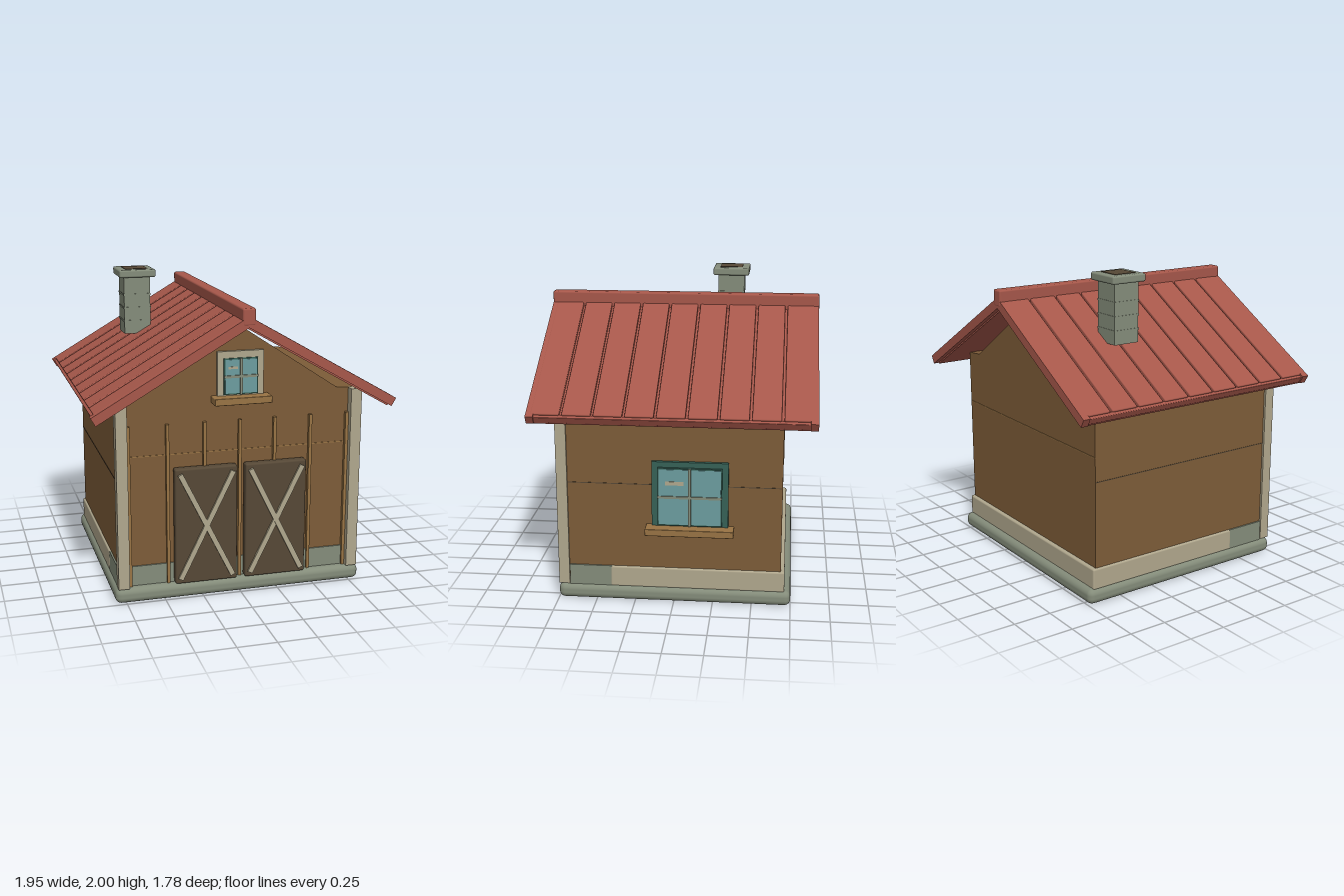
import * as THREE from 'three';
import { RoundedBoxGeometry } from 'three/addons/geometries/RoundedBoxGeometry.js';

const mat = (name, color) => {
  const m = new THREE.MeshStandardMaterial({ color });
  m.name = name;
  return m;
};

export function createModel() {
  const wood = mat('wall brown', 0x7d5c38);
  const lightWood = mat('light wood', 0x987344);
  const darkWood = mat('dark wood', 0x564836);
  const cream = mat('cream', 0xb0a78d);
  const stone = mat('grey stone', 0x848c7a);
  const red = mat('roof red', 0xa6574a);
  const teal = mat('teal', 0x366156);
  const glass = mat('glass', 0x6c9d9f);

  const model = new THREE.Group();
  model.name = 'cottage';

  // Box given by its limits on each axis; r rounds the edges
  function box(parent, name, material, [x0, x1], [y0, y1], [z0, z1], r = 0) {
    const size = [x1 - x0, y1 - y0, z1 - z0];
    const geo = r ? new RoundedBoxGeometry(...size, 3, r) : new THREE.BoxGeometry(...size);
    const mesh = new THREE.Mesh(geo, material);
    mesh.name = name;
    mesh.position.set((x0 + x1) / 2, (y0 + y1) / 2, (z0 + z1) / 2);
    parent.add(mesh);
    return mesh;
  }
  function group(name, parent = model) {
    const g = new THREE.Group();
    g.name = name;
    parent.add(g);
    return g;
  }

  // Foundation and skirting
  box(model, 'foundation', stone, [-0.82, 0.82], [0, 0.1], [-0.75, 0.75], 0.04);
  box(model, 'creamSkirting', cream, [-0.8, 0.8], [0.09, 0.23], [-0.71, 0.41], 0.012);
  box(model, 'stoneSkirtingSides', stone, [-0.798, 0.798], [0.09, 0.23], [0.4, 0.675]);
  box(model, 'stoneSkirtingFront', stone, [-0.73, 0.73], [0.09, 0.23], [0.6, 0.7]);

  // Body with shouldered gables
  const outline = [[-0.787, 0.09], [0.787, 0.09], [0.787, 1.305], [0.65, 1.315], [0, 1.745], [-0.65, 1.315], [-0.787, 1.305]];
  const shape = new THREE.Shape(outline.map(([x, y]) => new THREE.Vector2(x, y)));
  const bodyGeo = new THREE.ExtrudeGeometry(shape, { depth: 1.375, bevelEnabled: false });
  bodyGeo.translate(0, 0, -0.685);
  const body = new THREE.Mesh(bodyGeo, wood);
  body.name = 'walls';
  model.add(body);

  // Thin board seams
  box(model, 'frontSeam', lightWood, [-0.72, 0.72], [0.947, 0.953], [0.68, 0.693]);
  box(model, 'backSeam', lightWood, [-0.785, 0.785], [0.947, 0.953], [-0.688, -0.68]);
  box(model, 'sideSeam', darkWood, [-0.789, 0.789], [0.789, 0.794], [-0.68, 0.68]);

  // Front corner posts
  for (const s of [-1, 1]) {
    const x = [0.73 * s, 0.802 * s].sort((a, b) => a - b);
    box(model, 'cornerPost', cream, x, [0.1, 1.31], [0.678, 0.747]);
  }

  // Front battens
  for (const x of [-0.718, -0.47, -0.23, 0, 0.23, 0.47, 0.718])
    box(model, 'batten', lightWood, [x - 0.01, x + 0.01], [0.1, 1.15], [0.685, 0.715]);

  // Pair of barn doors with crossed braces
  for (const s of [-1, 1]) {
    const door = group('door');
    door.position.set(0.23 * s, 0.483, 0);
    box(door, 'doorPanel', darkWood, [-0.203, 0.203], [-0.383, 0.383], [0.69, 0.752], 0.012);
    for (const t of [-1, 1]) {
      const brace = box(door, 'doorBrace', cream, [-0.0165, 0.0165], [-0.39, 0.39], [0.745, t > 0 ? 0.768 : 0.766]);
      brace.rotation.z = t * Math.atan2(0.34, 0.69);
    }
  }

  // Window built facing +z, centred on its glass
  function makeWindow(name, o) {
    const g = group(name);
    const { w, h, frameW, frameB, frameT, sillW, sillH, sillZ, frameMat, proud } = o;
    box(g, 'windowFrame', frameMat, [-frameW, frameW], [frameB, frameT], [-0.02, 0.022]);
    box(g, 'windowSash', teal, [-w, w], [-h, h], [0, proud]);
    box(g, 'windowGlass', glass, [-w + 0.008, w - 0.008], [-h + 0.008, h - 0.008], [proud - 0.01, proud + 0.004]);
    box(g, 'mullion', stone, [-0.008, 0.008], [-h, h], [proud, proud + 0.012]);
    box(g, 'muntin', stone, [-w, w], [-0.008, 0.008], [proud, proud + 0.011]);
    box(g, 'windowGlint', cream, [-0.76 * w, -0.19 * w], [0.42 * h, 0.55 * h], [proud, proud + 0.007]);
    box(g, 'windowSill', lightWood, [-sillW, sillW], [frameB - sillH, frameB], [-0.02, sillZ], 0.005);
    return g;
  }
  const gableWindow = makeWindow('gableWindow', {
    w: 0.11, h: 0.115, frameW: 0.15, frameB: -0.122, frameT: 0.158,
    sillW: 0.185, sillH: 0.045, sillZ: 0.1, frameMat: cream, proud: 0.03,
  });
  gableWindow.position.set(0, 1.432, 0.69);
  const sideWindow = makeWindow('sideWindow', {
    w: 0.203, h: 0.19, frameW: 0.242, frameB: -0.2, frameT: 0.225,
    sillW: 0.28, sillH: 0.045, sillZ: 0.097, frameMat: teal, proud: 0.04,
  });
  sideWindow.position.set(0.788, 0.727, -0.105);
  sideWindow.rotation.y = Math.PI / 2;

  // Roof: each slope is laid out flat, then tilted 30 degrees
  const panels = 9, pitch = 1.74 / panels;
  for (const s of [1, -1]) {
    const slope = group(s > 0 ? 'leftRoofSlope' : 'rightRoofSlope');
    slope.position.y = 1.752;
    slope.rotation.set(0, s > 0 ? 0 : Math.PI, -Math.PI / 6, 'YXZ');
    box(slope, 'roofDeck', red, [-0.02, 1.073], [0, 0.046], [-0.856, 0.856]);
    box(slope, 'eaveStrip', red, [1.05, 1.078], [0.012, 0.058], [-0.845, 0.845], 0.005);
    for (let i = 0; i < panels; i++) {
      const z = -0.87 + i * pitch;
      box(slope, 'roofPanel', red, [-0.03, 1.058], [0.03, 0.07], [z + 0.008, z + pitch - 0.008], 0.007);
    }
    for (const t of [-1, 1]) {
      const z = [0.842 * t, 0.89 * t].sort((a, b) => a - b);
      box(slope, 'rakeBoard', red, [-0.03, 1.085], [0.01, 0.069], z);
    }
  }
  box(model, 'ridgeCap', red, [-0.041, 0.041], [1.775, 1.882], [-0.892, 0.892], 0.012);

  // Chimney
  const chimney = group('chimney');
  chimney.position.set(-0.463, 0, -0.287);
  const ring = (name, m, half, y, r) => box(chimney, name, m, [-half, half], y, [-half, half], r);
  ring('chimneyStack', stone, 0.09, [1.56, 1.96], 0);
  for (const y of [1.64, 1.73, 1.82]) ring('chimneyCourse', stone, 0.093, [y, y + 0.012], 0);
  ring('chimneyCap', stone, 0.124, [1.945, 1.997], 0.012);
  ring('chimneyOpening', darkWood, 0.077, [1.99, 2.0], 0);

  return model;
}
